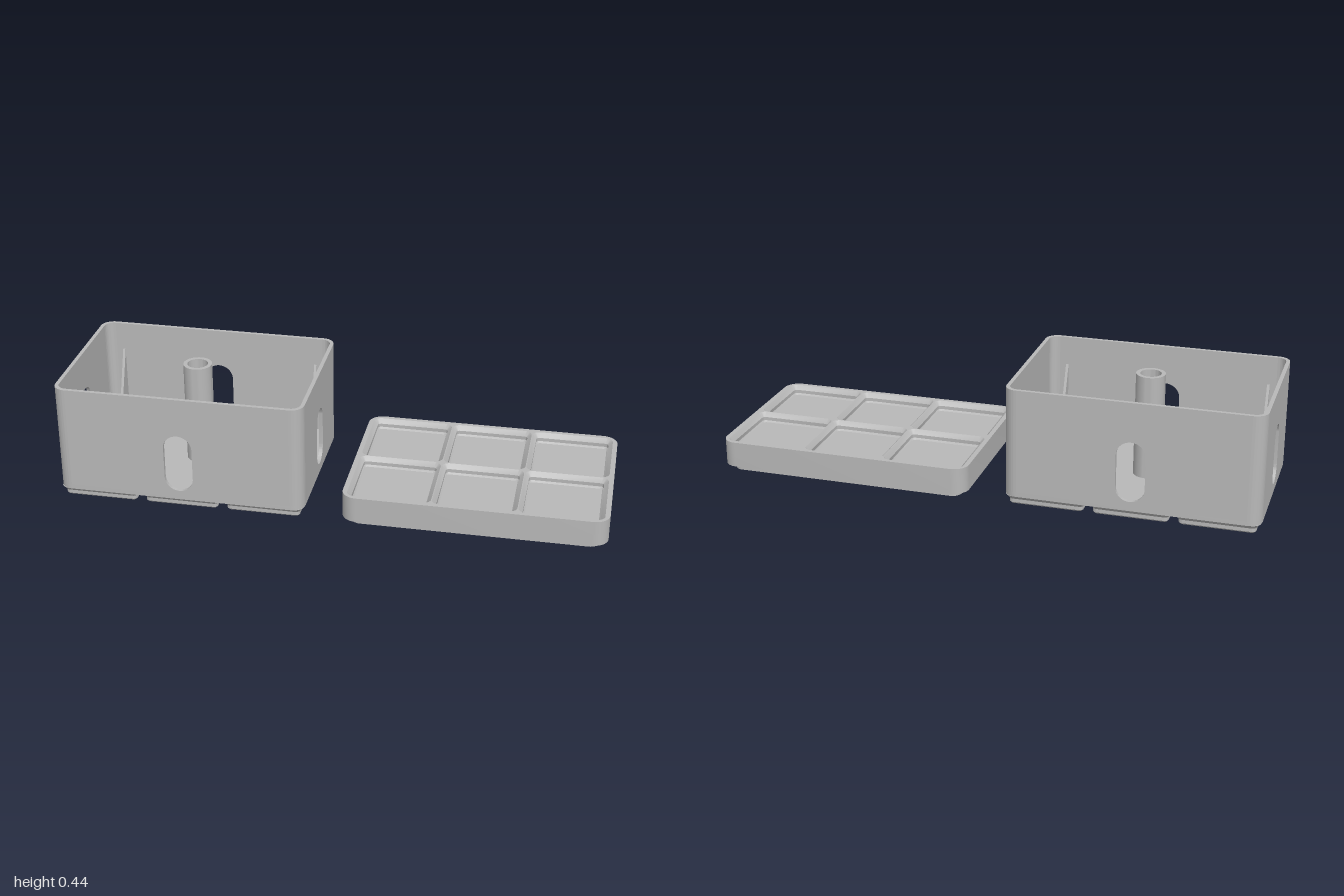
import * as THREE from 'three';
import { toCreasedNormals } from 'three/addons/utils/BufferGeometryUtils.js';

const grey = new THREE.MeshStandardMaterial({ color: 0xb8b8b8 });
grey.name = 'grey plastic';

const CELL = 0.305;               // grid pitch
const HX = CELL * 1.5, HZ = CELL; // half size of a 3 x 2 block
const BOX_X = -0.5425, TRAY_X = 0.5265;
const TOP = 0.438, FOOT = 0.035, FLOOR = 0.052, WALL = 0.014, R = 0.048;

function add(parent, name, geometry, x = 0, y = 0, z = 0) {
  const mesh = new THREE.Mesh(toCreasedNormals(geometry, 0.5), grey);
  mesh.name = name;
  mesh.position.set(x, y, z);
  parent.add(mesh);
  return mesh;
}

// Points round a rectangle with rounded corners
function roundedRect(hx, hz, r, n = 8) {
  const pts = [];
  [[1, 1], [-1, 1], [-1, -1], [1, -1]].forEach(([sx, sz], q) => {
    for (let i = 0; i <= n; i++) {
      const a = (q + i / n) * Math.PI / 2;
      pts.push(new THREE.Vector2(sx * (hx - r) + r * Math.cos(a), sz * (hz - r) + r * Math.sin(a)));
    }
  });
  return pts;
}

// Skin over rounded rectangles; levels are [y, inset, radius], inward turns it into a recess
function loft(hx, hz, levels, { bottom = true, top = true, inward = false } = {}) {
  const rings = levels.map(([y, inset, r]) =>
    roundedRect(hx - inset, hz - inset, r).map(p => [p.x, y, p.y]));
  const pos = [];
  const tri = (a, b, c) => inward ? pos.push(...a, ...c, ...b) : pos.push(...a, ...b, ...c);
  const n = rings[0].length, last = rings.length - 1;
  for (let i = 0; i < n; i++) {
    const j = (i + 1) % n;
    for (let k = 0; k < last; k++) {
      const [lo, hi] = [rings[k], rings[k + 1]];
      tri(lo[i], hi[i], hi[j]);
      tri(lo[i], hi[j], lo[j]);
    }
    if (top) tri([0, levels[last][0], 0], rings[last][j], rings[last][i]);
    if (bottom) tri([0, levels[0][0], 0], rings[0][i], rings[0][j]);
  }
  const g = new THREE.BufferGeometry();
  g.setAttribute('position', new THREE.Float32BufferAttribute(pos, 3));
  return g;
}

const extrude = (shape, depth) =>
  new THREE.ExtrudeGeometry(shape, { depth, bevelEnabled: false, curveSegments: 20 });

function eachCell(fn) {
  for (const i of [-1, 0, 1]) for (const j of [-0.5, 0.5]) fn(i * CELL, j * CELL);
}

// Flat wall with an upright rounded slot
function wallPanel(length) {
  const h = length / 2, s = 0.0525, lo = 0.07 + s, hi = 0.293 - s;
  const shape = new THREE.Shape([[-h, FLOOR], [h, FLOOR], [h, TOP], [-h, TOP]].map(p => new THREE.Vector2(...p)));
  const slot = new THREE.Path();
  slot.absarc(0, hi, s, 0, Math.PI);
  slot.absarc(0, lo, s, Math.PI, Math.PI * 2);
  slot.closePath();
  shape.holes.push(slot);
  return extrude(shape, WALL);
}

function makeBox() {
  const box = new THREE.Group();
  box.name = 'box';
  box.position.x = BOX_X;
  add(box, 'floor', loft(HX, HZ, [[FOOT, 0, R], [FLOOR, 0, R]]));

  // stepped feet under each cell
  eachCell((x, z) => add(box, 'foot', loft(CELL / 2, CELL / 2, [
    [0, 0.0233, 0.01], [0.006, 0.0175, 0.015], [0.019, 0.0175, 0.015], [FOOT, 0.002, 0.034],
  ]), x, 0, z));

  // walls and rounded corners
  for (const s of [1, -1]) {
    const turn = s > 0 ? 0 : Math.PI;
    add(box, 'longWall', wallPanel(2 * (HX - R)), 0, 0, s * (HZ - WALL)).rotation.y = turn;
    add(box, 'shortWall', wallPanel(2 * (HZ - R)), s * (HX - WALL), 0, 0).rotation.y = turn + Math.PI / 2;
  }
  const arc = new THREE.Shape();
  arc.absarc(0, 0, R, 0, Math.PI / 2);
  arc.absarc(0, 0, R - WALL, Math.PI / 2, 0, true);
  const corner = extrude(arc, TOP - FLOOR).rotateX(-Math.PI / 2);
  [[1, -1], [-1, -1], [-1, 1], [1, 1]].forEach(([sx, sz], q) => {
    add(box, 'wallCorner', corner, sx * (HX - R), FLOOR, sz * (HZ - R)).rotation.y = q * Math.PI / 2;
  });

  // hollow centre post
  const post = [[0.053, FLOOR], [0.053, TOP], [0.038, TOP], [0.038, FLOOR]];
  add(box, 'post', new THREE.LatheGeometry(post.map(p => new THREE.Vector2(...p)), 40));

  // triangular ribs on the long walls
  const tri = new THREE.Shape([[0, FLOOR], [0.107, FLOOR], [0, 0.33]].map(p => new THREE.Vector2(...p)));
  const rib = extrude(tri, 0.01).translate(0, 0, -0.005);
  for (const sx of [1, -1]) for (const sz of [1, -1]) {
    add(box, 'rib', rib, sx * 0.381, 0, sz * (HZ - WALL)).rotation.y = sz * Math.PI / 2;
  }
  return box;
}

function makeTray() {
  const tray = new THREE.Group();
  tray.name = 'tray';
  tray.position.x = TRAY_X;
  const hx = HX + 0.016, hz = HZ + 0.015, step = 0.023, top = 0.119, r = 0.055;

  // lower plug with a socket for the post
  const plug = new THREE.Shape(roundedRect(0.443, 0.291, 0.035));
  plug.holes.push(new THREE.Path().absarc(0, 0, 0.056, 0, Math.PI * 2));
  add(tray, 'plug', extrude(plug, step).rotateX(-Math.PI / 2));

  add(tray, 'body', loft(hx, hz, [[step, 0, r], [top, 0, r]], { top: false }));

  // top face with one opening per cell
  const rim = new THREE.Shape(roundedRect(hx, hz, r));
  const half = CELL / 2 - 0.0015;
  eachCell((x, z) => {
    rim.holes.push(new THREE.Path(roundedRect(half, half, 0.029).map(p => p.add(new THREE.Vector2(x, z)))));
    add(tray, 'recess', loft(half, half, [
      [top - 0.035, 0.0215, 0.01], [top - 0.029, 0.0155, 0.014], [top - 0.016, 0.0155, 0.014], [top, 0, 0.029],
    ], { top: false, inward: true }), x, 0, z);
  });
  add(tray, 'rim', new THREE.ShapeGeometry(rim).rotateX(-Math.PI / 2), 0, top, 0);

  // recess floors face upwards
  return tray;
}

export function createModel() {
  const model = new THREE.Group();
  model.name = 'storageBoxAndTray';
  model.add(makeBox(), makeTray());
  return model;
}
